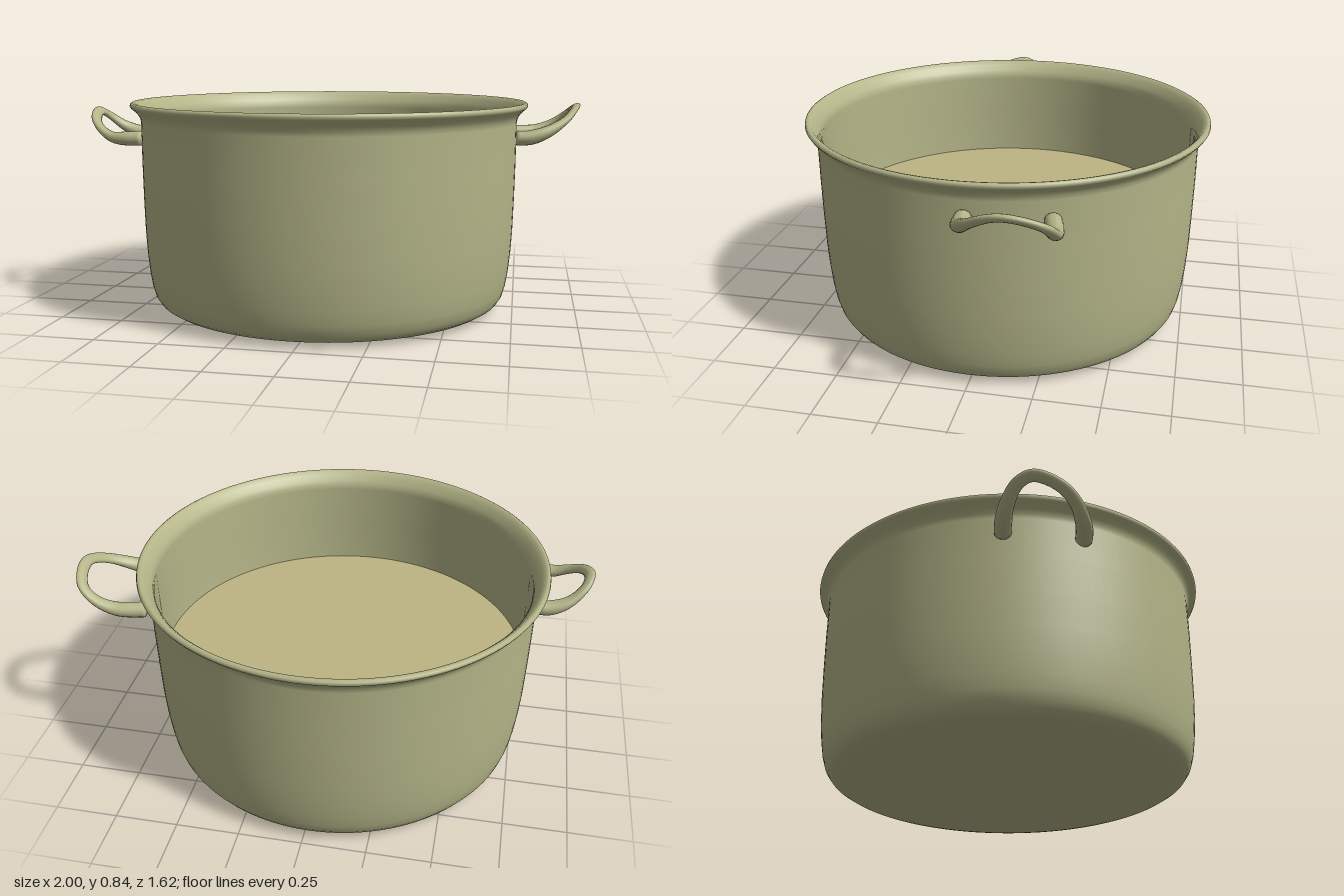
import * as THREE from 'three';

const POT_X = -0.02;
const metal = new THREE.MeshStandardMaterial({ color: 0xb4b588 });
const broth = new THREE.MeshStandardMaterial({ color: 0xbdb484 });

function add(parent, name, geometry, material) {
  const mesh = new THREE.Mesh(geometry, material);
  mesh.name = name;
  parent.add(mesh);
  return mesh;
}

// Elliptical bar swept along a path: round thick feet, thin flattened grip, closed ends
function handleGeometry(path, side, steps = 64, sides = 16) {
  const curve = new THREE.CatmullRomCurve3(path.map(p => new THREE.Vector3(...p)), false, 'centripetal');
  const up = new THREE.Vector3(-side * 0.6, 0.8, 0);
  const pos = [], index = [];
  for (let i = 0; i <= steps; i++) {
    const t = i / steps;
    const c = curve.getPointAt(t), T = curve.getTangentAt(t);
    const N = up.clone().addScaledVector(T, -up.dot(T)).normalize();
    const B = new THREE.Vector3().crossVectors(T, N);
    const grip = THREE.MathUtils.smoothstep(Math.sin(Math.PI * t), 0.25, 1);
    const end = i === 0 || i === steps ? 0 : 1;
    const wide = end * THREE.MathUtils.lerp(0.032, 0.023, grip);
    const thin = end * THREE.MathUtils.lerp(0.029, 0.013, grip);
    for (let j = 0; j <= sides; j++) {
      const a = (j / sides) * Math.PI * 2;
      const p = c.clone().addScaledVector(N, Math.cos(a) * thin).addScaledVector(B, Math.sin(a) * wide);
      pos.push(p.x, p.y, p.z);
      if (i < steps && j < sides) {
        const k = i * (sides + 1) + j, n = k + sides + 1;
        index.push(k, k + 1, n, k + 1, n + 1, n);
      }
    }
  }
  const g = new THREE.BufferGeometry();
  g.setAttribute('position', new THREE.Float32BufferAttribute(pos, 3));
  g.setIndex(index);
  g.computeVertexNormals();
  return g;
}

export function createModel() {
  const group = new THREE.Group();
  group.name = 'cookingPot';

  // Pot shell: base, rounded corner, wall, flared rim, then back down the inside
  const profile = [
    [0, 0], [0.35, 0.003], [0.6, 0.01], [0.66, 0.013], [0.69, 0.02], [0.712, 0.034],
    [0.728, 0.058], [0.739, 0.095], [0.748, 0.15], [0.756, 0.23], [0.761, 0.32], [0.764, 0.45],
    [0.766, 0.6], [0.766, 0.76], [0.769, 0.778], [0.778, 0.794], [0.79, 0.807], [0.804, 0.819],
    [0.809, 0.827], [0.807, 0.836], [0.799, 0.841], [0.788, 0.838], [0.774, 0.824],
    [0.758, 0.802], [0.75, 0.785], [0.747, 0.765], [0.746, 0.6], [0.744, 0.45], [0.738, 0.25],
    [0.722, 0.1], [0.69, 0.05], [0.64, 0.035], [0, 0.025],
  ].map(([r, y]) => new THREE.Vector2(r, y));
  add(group, 'potShell', new THREE.LatheGeometry(profile, 128), metal).position.x = POT_X;

  // Flat surface of the contents
  const fill = add(group, 'contents', new THREE.CircleGeometry(0.744, 128), broth);
  fill.rotation.x = -Math.PI / 2;
  fill.position.set(POT_X, 0.41, 0);

  // Loop handles, rising as they reach outward
  add(group, 'leftHandle', handleGeometry([
    [0.735, 0.697, -0.005], [0.80, 0.70, -0.008], [0.87, 0.724, -0.025], [0.935, 0.764, -0.07],
    [0.972, 0.802, -0.14], [0.981, 0.813, -0.19], [0.972, 0.802, -0.26], [0.945, 0.774, -0.318],
    [0.89, 0.733, -0.338], [0.82, 0.703, -0.332], [0.76, 0.697, -0.32], [0.695, 0.697, -0.305],
  ], 1), metal);
  add(group, 'rightHandle', handleGeometry([
    [-0.775, 0.695, 0.005], [-0.84, 0.695, 0.008], [-0.91, 0.722, 0.022], [-0.965, 0.77, 0.06],
    [-0.981, 0.793, 0.11], [-0.972, 0.783, 0.17], [-0.945, 0.755, 0.23], [-0.90, 0.722, 0.27],
    [-0.85, 0.699, 0.288], [-0.79, 0.696, 0.297], [-0.715, 0.698, 0.297],
  ], -1), metal);

  return group;
}
